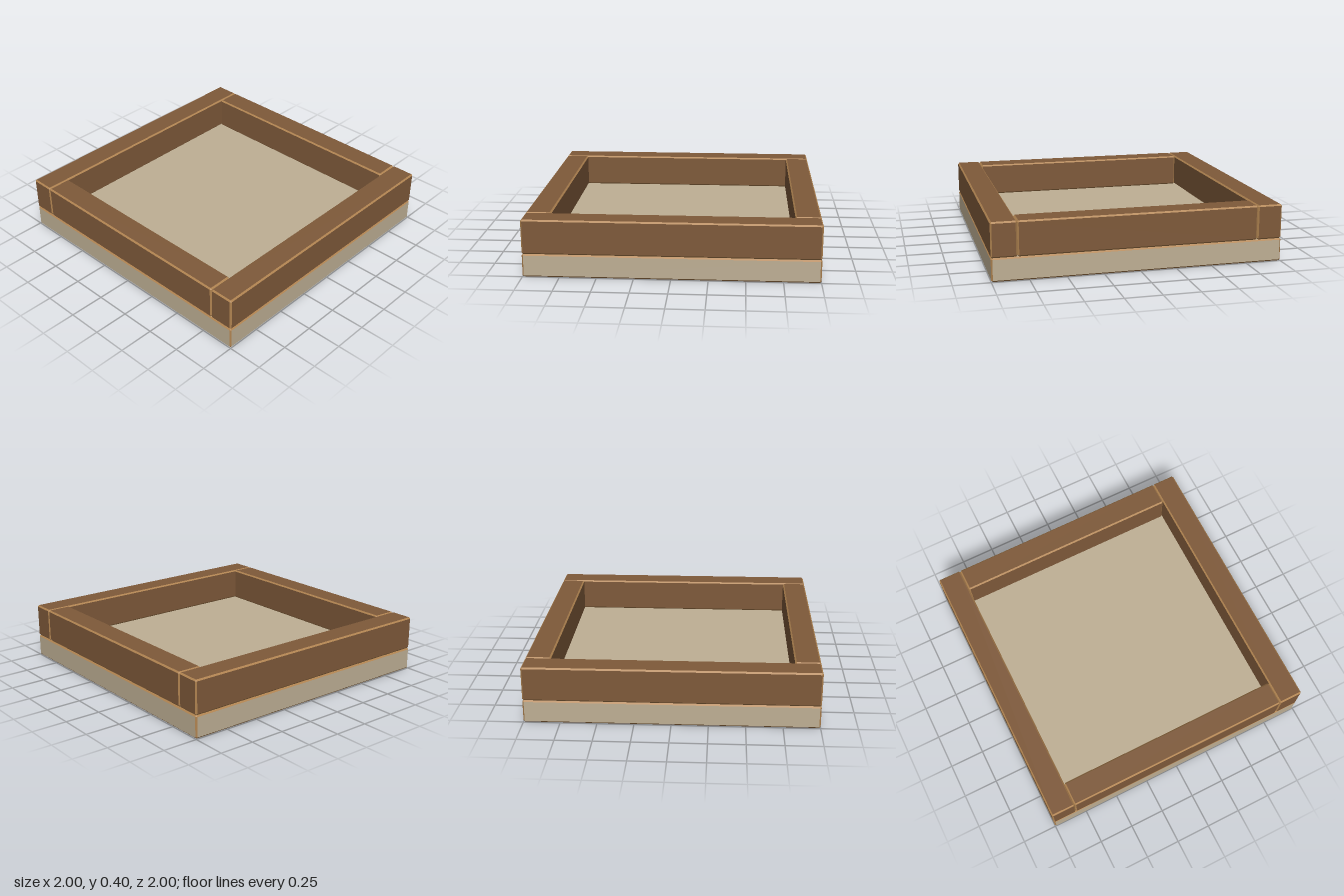
import * as THREE from 'three';

const BEVEL = 0.01;

// Box with flat chamfers: group 0 is the six faces, group 1 the chamfered edges and corners.
function chamferedBox(w, h, d, c = BEVEL) {
  const half = [w / 2, h / 2, d / 2];
  const faces = [];
  const bevels = [];
  // Corner point that lies on the face of the given axis
  const point = (axis, s) => new THREE.Vector3(...half.map((e, i) => s[i] * (i === axis ? e : e - c)));
  // Adds a convex polygon, wound to face away from the centre
  const polygon = (list, pts) => {
    const normal = pts[1].clone().sub(pts[0]).cross(pts[2].clone().sub(pts[0]));
    if (normal.dot(pts[0]) < 0) pts.reverse();
    for (let i = 1; i < pts.length - 1; i++) {
      for (const p of [pts[0], pts[i], pts[i + 1]]) list.push(p.x, p.y, p.z);
    }
  };
  const signs = (a, sa, b, sb, k, sk) => {
    const s = [0, 0, 0];
    s[a] = sa; s[b] = sb; s[k] = sk;
    return s;
  };

  for (let a = 0; a < 3; a++) {
    const b = (a + 1) % 3, k = (a + 2) % 3;
    for (const sa of [-1, 1]) {
      polygon(faces, [[-1, -1], [1, -1], [1, 1], [-1, 1]].map(([sb, sk]) => point(a, signs(a, sa, b, sb, k, sk))));
      for (const sb of [-1, 1]) {
        const lo = signs(a, sa, b, sb, k, -1), hi = signs(a, sa, b, sb, k, 1);
        polygon(bevels, [point(a, lo), point(a, hi), point(b, hi), point(b, lo)]);
        if (a === 0) for (const s of [lo, hi]) polygon(bevels, [0, 1, 2].map(i => point(i, s)));
      }
    }
  }

  const geometry = new THREE.BufferGeometry();
  geometry.setAttribute('position', new THREE.Float32BufferAttribute([...faces, ...bevels], 3));
  geometry.addGroup(0, faces.length / 3, 0);
  geometry.addGroup(faces.length / 3, bevels.length / 3, 1);
  geometry.computeVertexNormals();
  return geometry;
}

export function createModel() {
  const model = new THREE.Group();
  model.name = 'framedTray';

  const material = (name, color) => {
    const m = new THREE.MeshStandardMaterial({ color });
    m.name = name;
    return m;
  };
  const wood = material('brownWood', 0x7f5a3a);
  const stone = material('beigeBase', 0xbfb095);
  const edge = material('tanEdge', 0xb08350);

  const block = (name, body, [w, h, d], [x, y, z]) => {
    const mesh = new THREE.Mesh(chamferedBox(w, h, d), [body, edge]);
    mesh.name = name;
    mesh.position.set(x, y, z);
    model.add(mesh);
  };

  const baseHeight = 0.16, beamHeight = 0.24, beam = 0.175;
  const beamY = baseHeight + beamHeight / 2;
  const offset = 1 - beam / 2;

  // Slab underneath
  block('base', stone, [2, baseHeight, 2], [0, baseHeight / 2, 0]);

  // Long beams at front and back, shorter ones fitted between them
  for (const s of [1, -1]) {
    block(s > 0 ? 'frontBeam' : 'backBeam', wood, [2, beamHeight, beam], [0, beamY, s * offset]);
    block(s > 0 ? 'leftBeam' : 'rightBeam', wood, [beam, beamHeight, 2 - 2 * beam], [s * offset, beamY, 0]);
  }

  return model;
}
